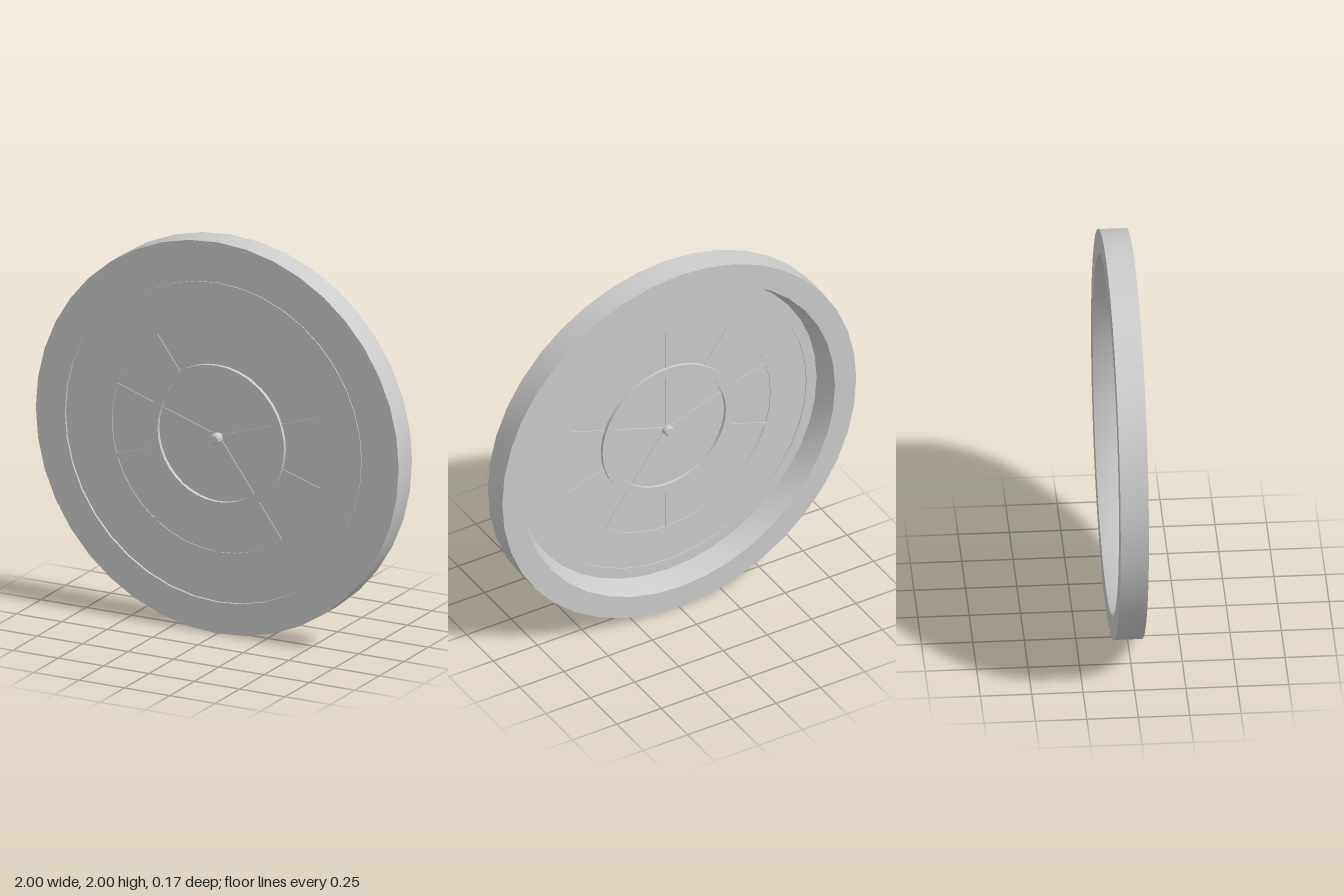
import * as THREE from 'three';
import { toCreasedNormals } from 'three/addons/utils/BufferGeometryUtils.js';

const SIDES = 40;

export function createModel() {
  const group = new THREE.Group();
  const material = new THREE.MeshStandardMaterial({ color: 0xcccccc });

  function add(name, geometry, parent = group) {
    const mesh = new THREE.Mesh(geometry, material);
    mesh.name = name;
    parent.add(mesh);
    return mesh;
  }

  // Closed profile of [radius, z] corners, turned around the z axis
  function turned(name, corners, sides = SIDES) {
    const points = [...corners, corners[0]].map(([r, z]) => new THREE.Vector2(r, z));
    const geometry = new THREE.LatheGeometry(points, sides).rotateX(Math.PI / 2);
    return add(name, toCreasedNormals(geometry, 0.5));
  }
  const band = (name, inner, outer, back, front) =>
    turned(name, [[outer, back], [outer, front], [inner, front], [inner, back]]);

  // Deep outer frame whose opening widens toward the back
  turned('outerFrame', [[1, -0.085], [1, 0.052], [0.84, 0.052], [0.84, 0.03], [0.88, -0.085]]);

  // Thin seal and the flat plate inside it
  band('seal', 0.785, 0.845, 0.025, 0.04);
  band('plate', 0.585, 0.79, 0.03, 0.045);

  // Glass filling the middle
  const glass = new THREE.CylinderGeometry(0.59, 0.59, 0.006, SIDES).rotateX(Math.PI / 2);
  add('glass', glass).position.z = 0.0375;

  // Raised ring between the two rows of panes
  band('innerRing', 0.325, 0.372, 0.018, 0.06);

  // Radial bars: ten outside the ring, five inside
  function bars(name, count, from, to) {
    const set = new THREE.Group();
    set.name = name + 's';
    for (let i = 0; i < count; i++) {
      const arm = new THREE.Group();
      arm.rotation.z = (i / count) * Math.PI * 2;
      add(name, new THREE.BoxGeometry(0.02, to - from, 0.015), arm)
        .position.set(0, (from + to) / 2, 0.0375);
      set.add(arm);
    }
    group.add(set);
  }
  bars('outerBar', 10, 0.365, 0.59);
  bars('innerBar', 5, 0, 0.33);

  // Small hub knob with bevelled ends, showing on both sides
  turned('hub', [[0, 0.005], [0.019, 0.005], [0.027, 0.013], [0.027, 0.077], [0.019, 0.085], [0, 0.085]], 10);

  // Stand the round window on the ground
  for (const part of group.children) part.position.y = 1;
  return group;
}
